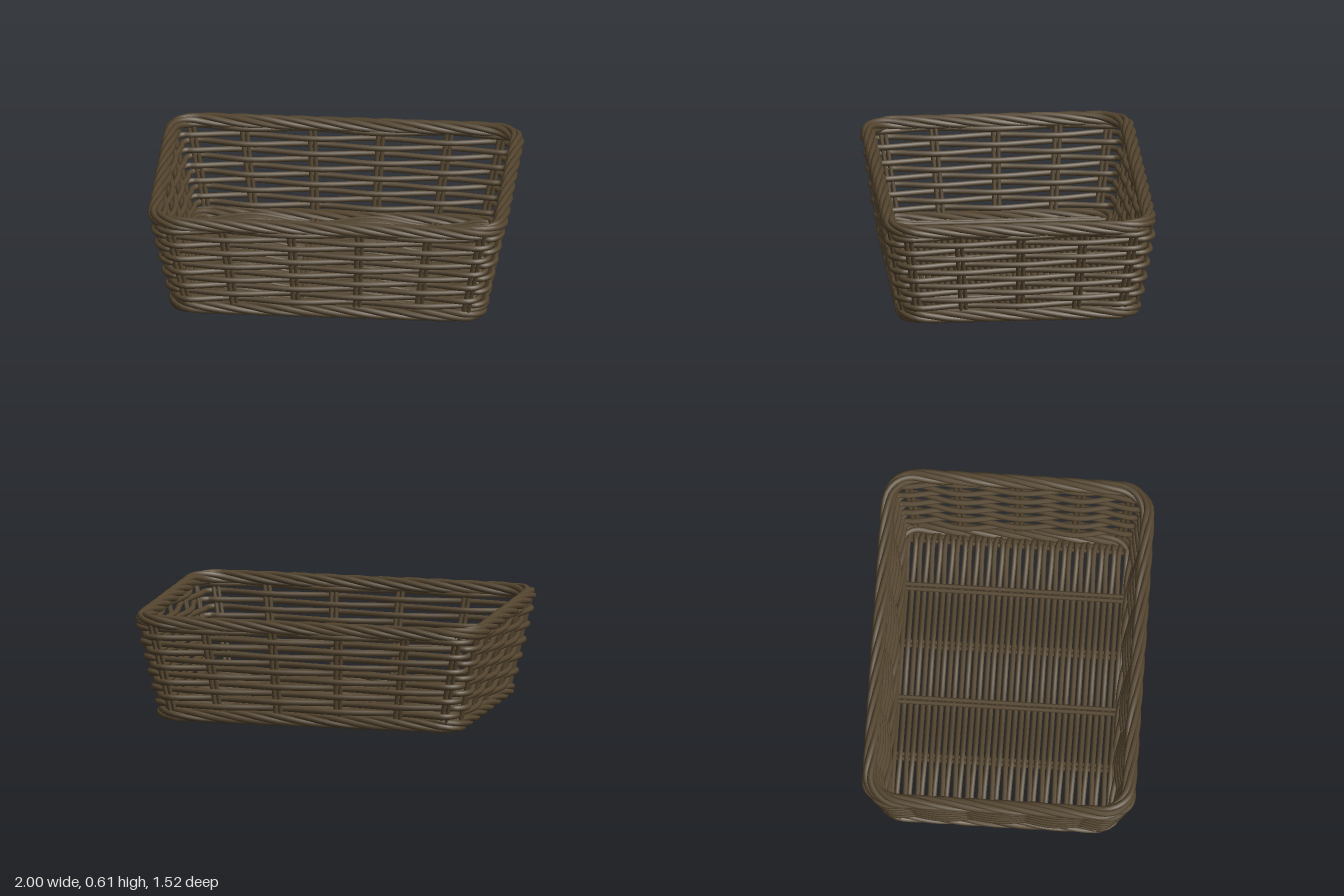
import * as THREE from 'three';

const wicker = new THREE.MeshStandardMaterial({ color: 0x54452f });
wicker.name = 'darkWicker';

const V = (x, y, z) => new THREE.Vector3(x, y, z);

// Half width and half depth of the flaring wall at height y
const halfX = (y) => 0.853 + 0.215 * (y - 0.09);
const halfZ = (y) => 0.652 + 0.155 * (y - 0.09);

// Round cane through a list of points
function cane(name, points, radius, stepsPerPoint, closed = false) {
  const curve = new THREE.CatmullRomCurve3(points, closed);
  // step evenly per control point so tight bends keep their detail
  curve.getPointAt = (t, target) => curve.getPoint(t, target);
  curve.getTangentAt = (t, target) => curve.getTangent(t, target);
  const steps = Math.round(points.length * stepsPerPoint);
  const mesh = new THREE.Mesh(new THREE.TubeGeometry(curve, steps, radius, 7, closed), wicker);
  mesh.name = name;
  return mesh;
}

// Rounded rectangle running once around the basket
function loopPath(hx, hz, r) {
  const s = new THREE.Shape();
  s.moveTo(hx, -hz + r);
  s.lineTo(hx, hz - r);
  s.absarc(hx - r, hz - r, r, 0, Math.PI / 2);
  s.lineTo(-hx + r, hz);
  s.absarc(-hx + r, hz - r, r, Math.PI / 2, Math.PI);
  s.lineTo(-hx, -hz + r);
  s.absarc(-hx + r, -hz + r, r, Math.PI, Math.PI * 1.5);
  s.lineTo(hx - r, -hz);
  s.absarc(hx - r, -hz + r, r, Math.PI * 1.5, Math.PI * 2);
  return s;
}

// Twisted rope border made of several helical canes
function rope(name, hx, hz, corner, y, turns) {
  const group = new THREE.Group();
  group.name = name;
  const path = loopPath(hx, hz, corner);
  const strands = 5, samples = 150, twist = 0.024;
  for (let s = 0; s < strands; s++) {
    const pts = [];
    for (let i = 0; i < samples; i++) {
      const u = i / samples;
      const p = path.getPointAt(u), t = path.getTangentAt(u);
      const a = Math.PI * 2 * (u * turns + s / strands);
      const out = Math.cos(a) * twist;
      pts.push(V(p.x + t.y * out, y + Math.sin(a) * twist, p.y - t.x * out));
    }
    group.add(cane('ropeStrand', pts, 0.0175, 1.2, true));
  }
  return group;
}

// Upright positions in order around the basket: fractions of the half sizes
// plus the outward direction; corner entries carry no upright
const frontStops = [-0.91, -0.6, -0.2, 0.2, 0.6, 0.91];
const sideStops = [0.87, 0.48, 0, -0.48, -0.87];
const stops = [];
for (const side of [1, -1]) {
  frontStops.forEach((f) => stops.push({ fx: f * side, fz: side, nx: 0, nz: side }));
  stops.push({ fx: side, fz: side, corner: true });
  sideStops.forEach((f) => stops.push({ fx: side, fz: f * side, nx: side, nz: 0 }));
  stops.push({ fx: side, fz: -side, corner: true });
}

function wallUprights() {
  const group = new THREE.Group();
  group.name = 'wallUprights';
  for (const s of stops) {
    if (s.corner) continue;
    for (const d of [-0.0135, 0.0135]) {
      const pts = [0.04, 0.3, 0.575].map((y) =>
        V(s.fx * halfX(y) + s.nz * d, y, s.fz * halfZ(y) + s.nx * d));
      group.add(cane('upright', pts, 0.0125, 2));
    }
  }
  return group;
}

// Horizontal canes passing in and out of the uprights, alternating by row
function wallWeave() {
  const group = new THREE.Group();
  group.name = 'wallWeave';
  const rows = 11, swing = 0.02;
  for (let r = 0; r < rows; r++) {
    const y = 0.1 + 0.043 * r;
    const hx = halfX(y), hz = halfZ(y);
    let sign = r % 2 ? 1 : -1;
    const pts = stops.map((s) => {
      if (s.corner) return V(s.fx * (hx - 0.026), y, s.fz * (hz - 0.026));
      sign = -sign;
      return V(s.fx * hx + s.nx * swing * sign, y, s.fz * hz + s.nz * swing * sign);
    });
    group.add(cane('wallRow', pts, 0.0165, 7, true));
  }
  return group;
}

// Base: paired ribs with one long cane woven back and forth
function base() {
  const group = new THREE.Group();
  group.name = 'base';
  const ribs = [-0.785, -0.5, -0.165, 0.165, 0.5, 0.785];
  const y = 0.038;
  for (const x of ribs) {
    for (const d of [-0.0135, 0.0135]) {
      group.add(cane('baseRib', [V(x + d, y, -0.64), V(x + d, y, 0), V(x + d, y, 0.64)], 0.012, 2));
    }
  }
  const rows = 36, pitch = 1.2 / (rows - 1), swing = 0.021;
  const pts = [];
  for (let r = 0; r < rows; r++) {
    const dir = r % 2 ? -1 : 1, z = -0.6 + pitch * r;
    ribs.forEach((x, i) => {
      const lift = (i + r) % 2 ? swing : -swing;
      pts.push(V(x * dir, y + lift, z));
    });
    // hairpin around the last rib
    if (r < rows - 1) pts.push(V(0.815 * dir, y, z + pitch / 2));
  }
  group.add(cane('baseWeave', pts, 0.0145, 6));
  return group;
}

export function createModel() {
  const model = new THREE.Group();
  model.name = 'wickerBasket';
  model.add(
    rope('topRim', 0.957, 0.718, 0.16, 0.57, 8),
    rope('bottomRim', 0.845, 0.64, 0.11, 0.045, 7),
    wallUprights(),
    wallWeave(),
    base(),
  );
  return model;
}
